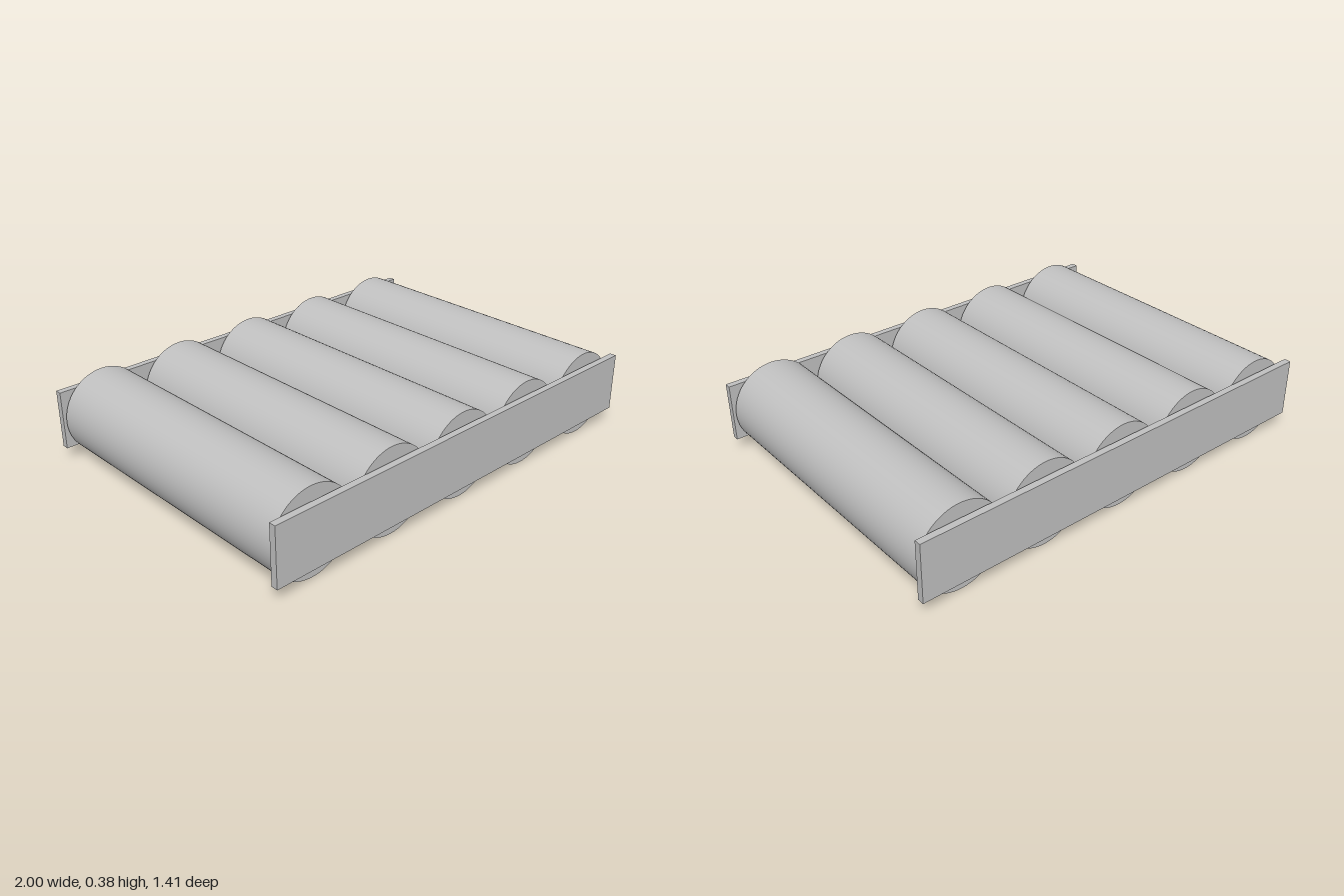
import * as THREE from 'three';

export function createModel() {
  const model = new THREE.Group();
  model.name = 'rollerConveyor';
  const grey = new THREE.MeshStandardMaterial({ color: 0xc0c0c0 });
  grey.name = 'grey';

  const radius = 0.191, halfLength = 0.665, gap = 0.01, railDepth = 0.03;

  const add = (name, geometry, x, y, z) => {
    const mesh = new THREE.Mesh(geometry, grey);
    mesh.name = name;
    mesh.position.set(x, y, z);
    model.add(mesh);
  };

  // Side rails, front and back
  const rail = new THREE.BoxGeometry(2, 0.262, railDepth);
  const railZ = halfLength + gap + railDepth / 2;
  add('frontRail', rail, 0, 0.195, railZ);
  add('backRail', rail, 0, 0.195, -railZ);

  // Rollers, with bearing hubs alternating between back and front
  const roller = new THREE.CylinderGeometry(radius, radius, halfLength * 2, 64).rotateX(Math.PI / 2);
  const hub = new THREE.CylinderGeometry(0.07, 0.07, gap, 40).rotateX(Math.PI / 2);
  for (let i = 0; i < 5; i++) {
    const x = (i - 2) * 0.4;
    const side = i % 2 === 0 ? -1 : 1;
    add('roller', roller, x, radius, 0);
    add('bearingHub', hub, x, 0.194, side * (halfLength + gap / 2));
  }
  return model;
}
